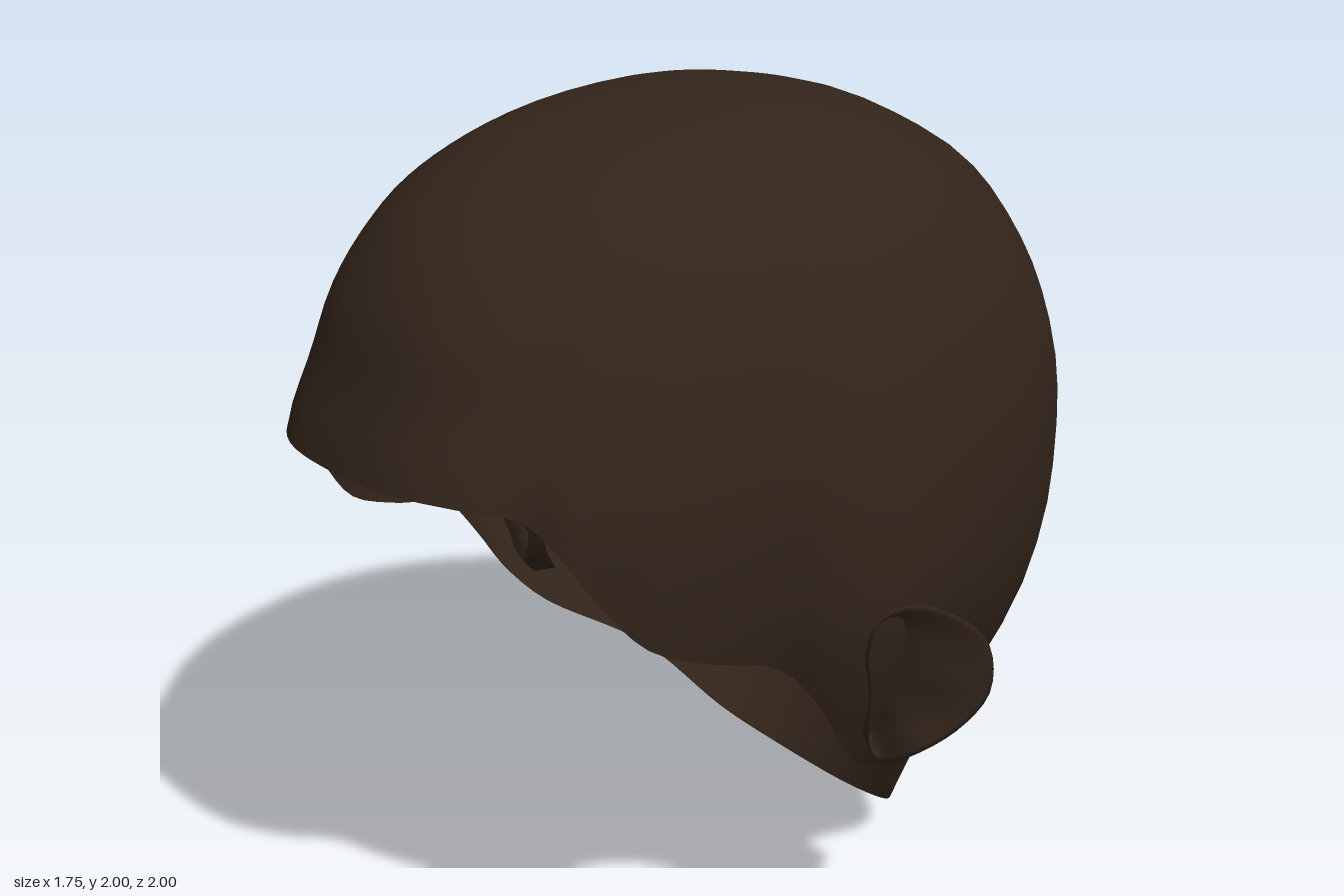
import * as THREE from 'three';
import { mergeVertices } from 'three/addons/utils/BufferGeometryUtils.js';

const material = new THREE.MeshStandardMaterial({ color: 0x32241a, side: THREE.DoubleSide });
const CENTER_Z = -0.03;

// Skull slices: height, half width, reach to the front, reach to the back
const SLICES = [
  [2, 0, 0, 0], [1.99, 0.14, 0.17, 0.13], [1.94, 0.33, 0.45, 0.37], [1.87, 0.46, 0.63, 0.53],
  [1.77, 0.575, 0.78, 0.69], [1.6, 0.675, 0.91, 0.83], [1.45, 0.72, 0.965, 0.91],
  [1.28, 0.75, 1.03, 0.96], [1.1, 0.762, 1.03, 0.965], [0.9, 0.755, 1.0, 0.935],
  [0.7, 0.7, 0.9, 0.88], [0.5, 0.61, 0.85, 0.77], [0.34, 0.51, 0.8, 0.66],
  [0.14, 0.44, 0.7, 0.55], [0, 0.4, 0.6, 0.505],
];

// Open edge on the left side, from the middle of the brow to the nape
const EDGE = [
  [0, 1.285, 1.0], [0.2, 1.285, 0.98], [0.35, 1.275, 0.9], [0.43, 1.25, 0.81], [0.5, 1.17, 0.76],
  [0.535, 1.07, 0.7], [0.58, 0.95, 0.6], [0.61, 0.89, 0.47], [0.64, 0.83, 0.28], [0.66, 0.72, 0.18],
  [0.65, 0.6, 0.1], [0.61, 0.49, 0], [0.47, 0.34, -0.23], [0.33, 0.14, -0.4], [0.2, 0.05, -0.49],
  [0, 0.005, -0.535],
];

// Outer rim of the left ear
const EAR_RIM = [
  [0.76, 0.86, 0.12], [0.765, 0.94, 0.09], [0.79, 0.96, 0.02], [0.84, 0.92, -0.08],
  [0.87, 0.84, -0.15], [0.87, 0.72, -0.16], [0.83, 0.63, -0.11], [0.77, 0.565, -0.03],
  [0.69, 0.52, 0.0], [0.69, 0.58, 0.04], [0.7, 0.67, 0.05], [0.73, 0.76, 0.08],
];

const closedCurve = (points) =>
  new THREE.CatmullRomCurve3(points.map((p) => new THREE.Vector3(...p)), true);

// Smooth skin through a list of closed loops with equal point counts
function loft(loops) {
  const n = loops[0].length;
  const positions = loops.flat().flatMap((p) => [p.x, p.y, p.z]);
  const index = [];
  for (let j = 0; j < loops.length - 1; j++) {
    for (let i = 0; i < n; i++) {
      const a = j * n + i, b = j * n + ((i + 1) % n);
      index.push(a, a + n, b, b, a + n, b + n);
    }
  }
  let geometry = new THREE.BufferGeometry();
  geometry.setAttribute('position', new THREE.Float32BufferAttribute(positions, 3));
  geometry.setIndex(index);
  geometry = mergeVertices(geometry, 1e-5);
  geometry.computeVertexNormals();
  return geometry;
}

// Skull shell: meridians run from the crown down to the open edge
function skullGeometry() {
  const depth = (y) => Math.sqrt(Math.max(0, 2 - y));
  const profile = new THREE.CubicInterpolant(
    SLICES.map((s) => depth(s[0])), SLICES.flatMap((s) => s.slice(1)), 3);
  const sliceAt = (q) => Array.from(profile.evaluate(q));

  const right = EDGE.slice(1, -1).reverse().map(([x, y, z]) => [-x, y, z]);
  const edge = closedCurve([...EDGE, ...right]).getSpacedPoints(120).slice(0, -1);
  const rings = 28;
  const loops = Array.from({ length: rings + 1 }, () => []);
  for (const p of edge) {
    const qEdge = depth(p.y);
    const [w, f, b] = sliceAt(qEdge);
    const u = p.x / w;
    const v = (p.z - CENTER_Z) / (p.z > CENTER_Z ? f : b);
    const angle = Math.atan2(u, v), radius = Math.hypot(u, v);
    for (let j = 0; j <= rings; j++) {
      const t = j / rings, q = qEdge * t;
      const [sw, sf, sb] = sliceAt(q);
      const r = 1 + (radius - 1) * t ** 3;
      const c = Math.cos(angle);
      loops[j].push(new THREE.Vector3(
        sw * r * Math.sin(angle), 2 - q * q, CENTER_Z + (c > 0 ? sf : sb) * r * c));
    }
  }
  return loft(loops);
}

// Ear: back side, rolled rim and hollow, as loops shrunk towards its middle
function earGeometry() {
  const rim = closedCurve(EAR_RIM).getSpacedPoints(40).slice(0, -1);
  const ring = (scale, sink, slide) => rim.map((p) => new THREE.Vector3(
    p.x - sink, 0.77 + (p.y - 0.77) * scale, -0.02 + (p.z + 0.02) * scale + slide));
  const middle = rim.map(() => new THREE.Vector3(0.715, 0.76, 0.01));
  return loft([
    ring(0.7, 0.13, 0), ring(0.84, 0.05, -0.005), ring(0.97, 0.012, 0), ring(1, 0, 0),
    ring(0.93, 0, 0.008), ring(0.8, 0.03, 0.012), ring(0.5, 0.06, 0.02), middle,
  ]);
}

export function createModel() {
  const model = new THREE.Group();
  model.name = 'headShell';

  const skull = new THREE.Mesh(skullGeometry(), material);
  skull.name = 'skull';
  model.add(skull);

  const earShape = earGeometry();
  for (const [name, side] of [['leftEar', 1], ['rightEar', -1]]) {
    const ear = new THREE.Mesh(earShape, material);
    ear.name = name;
    ear.scale.x = side;
    model.add(ear);
  }
  return model;
}
